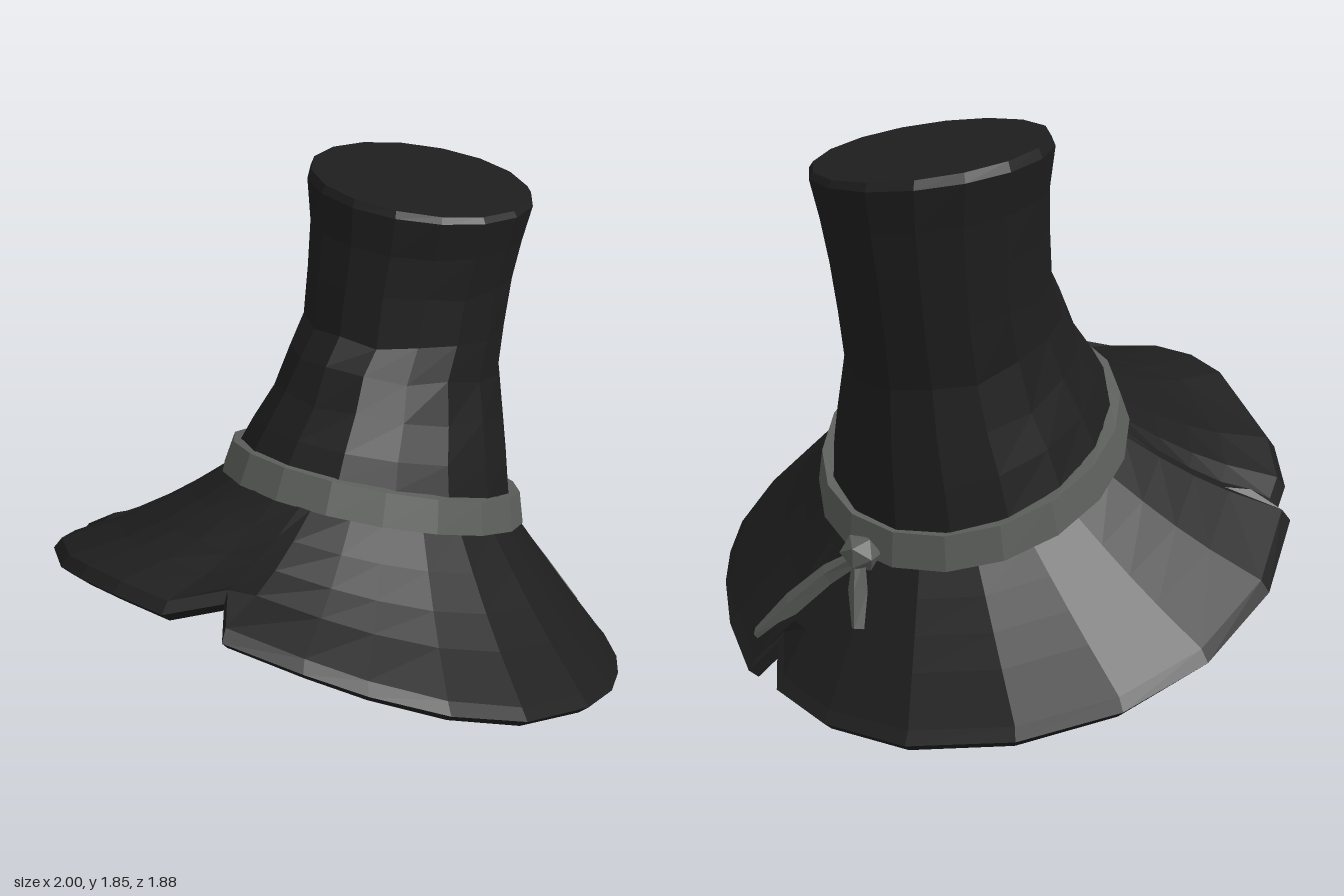
import * as THREE from 'three';

const felt = new THREE.MeshStandardMaterial({ color: 0x1e1e1e, flatShading: true });
felt.name = 'blackFelt';
const ribbon = new THREE.MeshStandardMaterial({ color: 0x5c5f5c, flatShading: true });
ribbon.name = 'greyRibbon';

const V = (x, y, z) => new THREE.Vector3(x, y, z);

// Skin a list of closed rings that all have the same number of points
function loft(rings) {
  const n = rings[0].length, index = [];
  for (let j = 0; j < rings.length - 1; j++) {
    for (let i = 0; i < n; i++) {
      const k = (i + 1) % n, a = j * n + i, b = j * n + k;
      index.push(a, b, b + n, a, b + n, a + n);
    }
  }
  const g = new THREE.BufferGeometry().setFromPoints(rings.flat());
  g.setIndex(index);
  g.computeVertexNormals();
  return g;
}

// Tilted ellipse given as centre x, half width, front z and y, back z and y
function oval([xc, rx, zf, yf, zb, yb], angles, tilt = 0) {
  return angles.map((a) => {
    const s = Math.sin(a), c = Math.cos(a);
    return V(xc + rx * s, (yf + yb) / 2 + (yf - yb) / 2 * c - tilt * rx * s,
      (zf + zb) / 2 + (zf - zb) / 2 * c);
  });
}

const steps = (n) => Array.from({ length: n }, (_, i) => (i / n) * Math.PI * 2);
const centre = (ring) => {
  const m = ring.reduce((s, p) => s.add(p), V(0, 0, 0)).divideScalar(ring.length);
  return ring.map(() => m.clone());
};

// Crown sections from the ribbon up to the lid
const seat = [0.02, 0.5, 0.385, 0.9, -0.675, 0.53];
const crownOvals = [
  seat,
  [0.02, 0.46, 0.325, 1.0, -0.67, 0.63],
  [0.025, 0.425, 0.28, 1.07, -0.67, 0.78],
  [0.03, 0.38, 0.2, 1.17, -0.668, 0.93],
  [0.03, 0.34, 0.135, 1.28, -0.665, 1.1],
  [0.03, 0.332, 0.06, 1.36, -0.695, 1.3],
  [0.03, 0.338, 0.03, 1.52, -0.725, 1.48],
  [0.035, 0.353, 0.005, 1.66, -0.745, 1.62],
  [0.037, 0.38, 0, 1.79, -0.765, 1.75],
  [0.037, 0.367, -0.013, 1.815, -0.752, 1.775],
];

function crownGeometry() {
  const rings = crownOvals.map((o, j) => {
    const ring = oval(o, steps(16), 0.1 * Math.max(0, (j - 3) / 5));
    // Slight crumples in the middle of the crown
    if (j > 2 && j < 7) ring.forEach((p, i) => { p.y += 0.01 * Math.sin(i * 2.3 + j * 1.7); });
    return ring;
  });
  return loft([...rings, centre(rings[rings.length - 1])]);
}

// Brim outline from above (x, z); the tips of the three torn notches add a lift
const outline = [
  [0.14, 0.8, 0.12], [0.24, 0.93], [0.47, 0.83], [0.64, 0.73], [0.82, 0.55], [0.95, 0.31],
  [1, 0], [0.98, -0.2], [0.92, -0.36], [0.84, -0.5], [0.7, -0.67], [0.51, -0.83],
  [0.43, -0.77, 0.07], [0.37, -0.87], [0.14, -0.94], [-0.16, -0.94], [-0.49, -0.83],
  [-0.76, -0.63], [-0.93, -0.36], [-1, 0], [-0.95, 0.34], [-0.84, 0.31, 0.08], [-0.89, 0.38],
  [-0.88, 0.48], [-0.78, 0.64], [-0.5, 0.87], [-0.36, 0.92], [-0.2, 0.935], [-0.02, 0.91],
];

function brimGeometry() {
  const n = outline.length;
  const angles = outline.map(([x, z]) => Math.atan2(x, z));
  const rim = (scale, dy) => outline.map(([x, z, lift = 0]) => V(x * scale,
    0.31 + 0.27 * z + 0.08 * z * z + 0.11 * z ** 3 - 0.03 * x + lift + dy, z * scale));
  const edge = rim(0.97, 0.038), under = rim(0.965, -0.035);
  // The flare runs smoothly towards the rim and ignores the notches
  const whole = edge.map((p, i) => (outline[i][2]
    ? edge[(i + n - 1) % n].clone().lerp(edge[(i + 1) % n], 0.5) : p));
  const top = oval(seat, angles);
  const flare = (t) => top.map((p, i) => {
    const q = p.clone().lerp(whole[i], t);
    q.y -= 0.02 * (1 + Math.cos(angles[i])) * Math.sin(Math.PI * t);
    return q;
  });
  // Shallow dome underneath
  const apex = V(0.03, 0.74, -0.1);
  const dome = (t) => under.map((p, i) => {
    const q = whole[i].clone().lerp(apex, t);
    q.y += 0.04 * Math.sin(Math.PI * t) - 0.07 * (1 - t);
    return q;
  });
  return loft([
    under.map(() => apex.clone()), dome(0.6), dome(0.28),
    under, rim(1, 0), edge,
    flare(0.66), flare(0.44), flare(0.22), top,
  ]);
}

// Tapered ribbon end with a diamond section along a path
function tailGeometry(points, widths) {
  const out = V(0.15, 0.4, -0.9).normalize();
  const along = points[points.length - 1].clone().sub(points[0]).normalize();
  const side = out.clone().cross(along).normalize();
  const rings = points.map((p, i) => [[side, widths[i]], [out, 0.02], [side, -widths[i]], [out, -0.02]]
    .map(([d, s]) => p.clone().addScaledVector(d, s)));
  return loft([centre(rings[0]), ...rings, centre(rings[rings.length - 1])]);
}

export function createModel() {
  const hat = new THREE.Group();
  hat.name = 'hat';
  const add = (name, geometry, material) => {
    const mesh = new THREE.Mesh(geometry, material);
    mesh.name = name;
    hat.add(mesh);
    return mesh;
  };

  // Felt body
  add('crown', crownGeometry(), felt);
  add('brim', brimGeometry(), felt);

  // Ribbon around the foot of the crown
  const a = steps(18);
  add('hatBand', loft([
    oval([0.02, 0.48, 0.36, 0.9, -0.65, 0.51], a),
    oval([0.02, 0.522, 0.395, 0.9, -0.7, 0.51], a),
    oval([0.02, 0.497, 0.345, 1.0, -0.69, 0.63], a),
    oval([0.02, 0.455, 0.31, 1.0, -0.655, 0.63], a),
    oval([0.02, 0.455, 0.32, 0.96, -0.655, 0.59], a),
  ]), ribbon);

  // Knot and its two loose ends at the back
  const knot = add('knot', new THREE.IcosahedronGeometry(0.065, 0), ribbon);
  knot.position.set(0.13, 0.54, -0.71);
  knot.scale.set(1.1, 1, 0.85);
  add('longTail', tailGeometry(
    [V(0.13, 0.53, -0.71), V(0.26, 0.43, -0.71), V(0.4, 0.29, -0.725), V(0.53, 0.15, -0.742)],
    [0.025, 0.035, 0.04, 0.025]), ribbon);
  add('shortTail', tailGeometry(
    [V(0.13, 0.53, -0.72), V(0.115, 0.43, -0.755), V(0.09, 0.32, -0.8)],
    [0.025, 0.04, 0.025]), ribbon);
  return hat;
}
